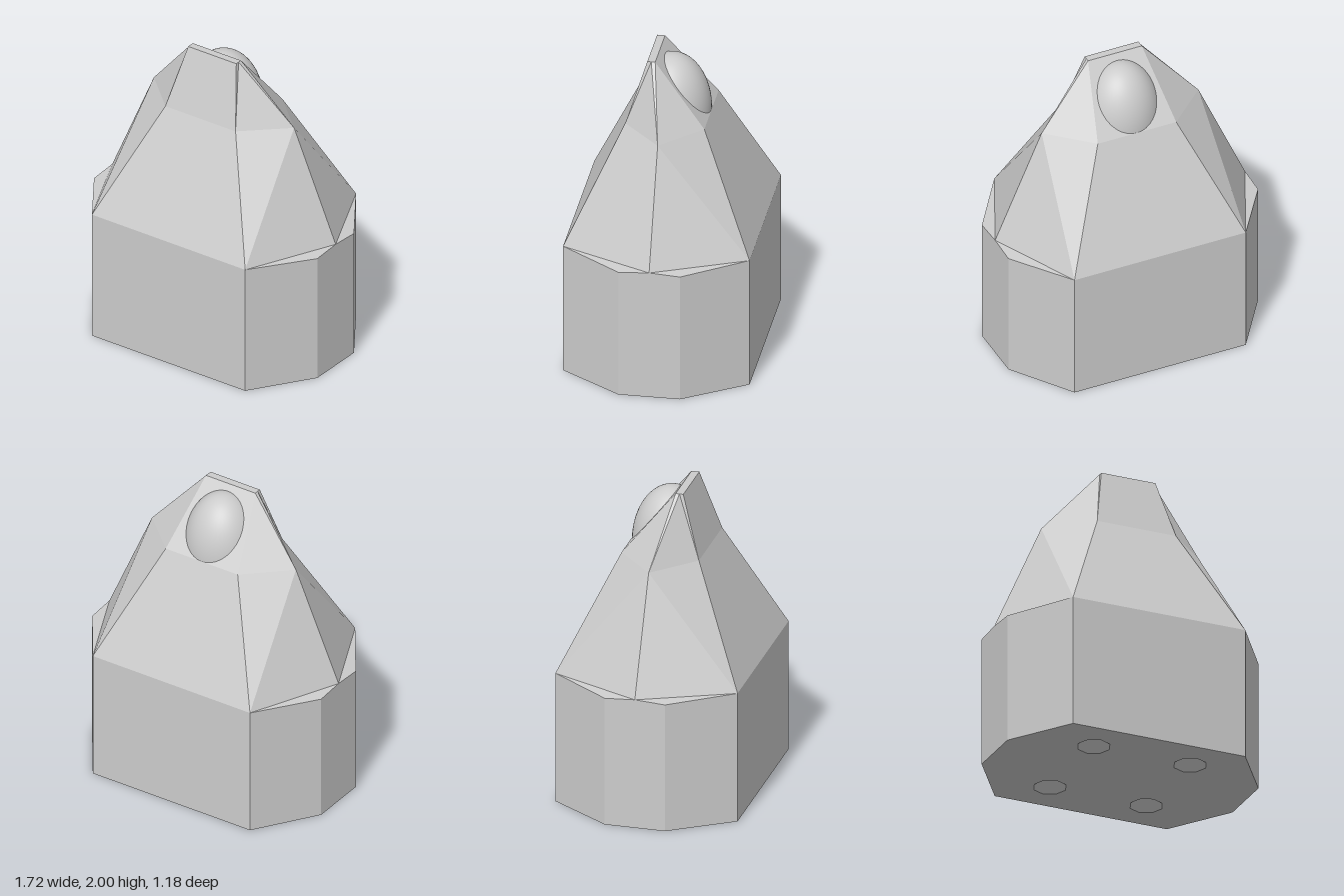
import * as THREE from 'three';

const flip = ([x, y, z]) => [-x, y, z];
const drop = ([x, , z]) => [x, 0, z];
const flat = () => new THREE.MeshStandardMaterial({ color: 0xcccccc, flatShading: true });

// Mesh from planar polygons; side polygons are mirrored across x
function facets(name, sides, spans) {
  const polys = [...sides, ...sides.map(p => p.map(flip).reverse()), ...spans];
  const pos = [];
  for (const p of polys)
    for (let i = 1; i < p.length - 1; i++) pos.push(...p[0], ...p[i], ...p[i + 1]);
  const geo = new THREE.BufferGeometry();
  geo.setAttribute('position', new THREE.Float32BufferAttribute(pos, 3));
  geo.computeVertexNormals();
  const mesh = new THREE.Mesh(geo, flat());
  mesh.name = name;
  return mesh;
}

// Quad across the width: from the mirrored points to the given ones
const span = (low, high) => [flip(low), low, high, flip(high)];
const backSpan = (low, high) => [low, flip(low), flip(high), high];

export function createModel() {
  const model = new THREE.Group();
  model.name = 'block';

  // Points of the +x half: shoulder, waist and crest (front, side, back)
  const A = [0.59, 0.87, 0.59], B = [0.86, 0.87, 0], C = [0.59, 0.87, -0.59];
  const D = [0.27, 1.6, 0.25], E = [0.54, 1.6, 0], F = [0.27, 1.6, -0.25];
  const G = [0.185, 2, 0.125], H = [0.185, 2, 0.1], I = [0.185, 2, 0.075];
  // Lower side corners of the base
  const K = [0.86, 0.858, 0.195], L = [0.86, 0.858, -0.195];
  const [a, k, l, c] = [A, K, L, C].map(drop);

  // Eight-sided base with slightly sloped ledges
  model.add(facets('base',
    [[a, k, K, A], [k, l, L, B, K], [l, c, C, L], [A, K, B], [B, L, C]],
    [span(a, A), backSpan(c, C)]));

  // Faceted peak
  model.add(facets('peak',
    [[A, B, E], [A, E, D], [B, C, E], [C, F, E], [D, E, H], [D, H, G], [E, F, I], [E, I, H]],
    [span(A, D), span(D, G), backSpan(C, F), backSpan(F, I), span(G, I)]));

  // Underside with four conical sockets
  const outline = [a, k, l, c, ...[c, l, k, a].map(flip)].map(p => new THREE.Vector2(p[0], p[2]));
  const shape = new THREE.Shape(outline);
  const r = 0.107, depth = 0.1;
  for (const x of [-0.33, 0.33]) for (const z of [-0.33, 0.33]) {
    const ring = [];
    for (let i = 0; i < 8; i++) {
      const t = i * Math.PI / 4;
      ring.push(new THREE.Vector2(x + r * Math.sin(t), z + r * Math.cos(t)));
    }
    shape.holes.push(new THREE.Path(ring));
    const material = flat();
    material.side = THREE.DoubleSide;
    const socket = new THREE.Mesh(new THREE.ConeGeometry(r, depth, 8, 1, true), material);
    socket.position.set(x, depth / 2, z);
    socket.name = 'socket';
    model.add(socket);
  }
  const underside = new THREE.Mesh(new THREE.ShapeGeometry(shape).rotateX(Math.PI / 2), flat());
  underside.name = 'underside';
  model.add(underside);

  // Smooth dome set in the back slope, kept behind the front face
  const domeGeo = new THREE.SphereGeometry(1, 48, 24, 0, Math.PI * 2, 0, Math.PI / 2);
  domeGeo.scale(0.252, 0.37, 0.25);
  const p = domeGeo.attributes.position;
  for (let i = 0; i < p.count; i++) p.setZ(i, Math.min(p.getZ(i), 0.08));
  const dome = new THREE.Mesh(domeGeo, new THREE.MeshStandardMaterial({ color: 0xcccccc }));
  dome.position.y = 1.6;
  dome.name = 'dome';
  model.add(dome);

  return model;
}
